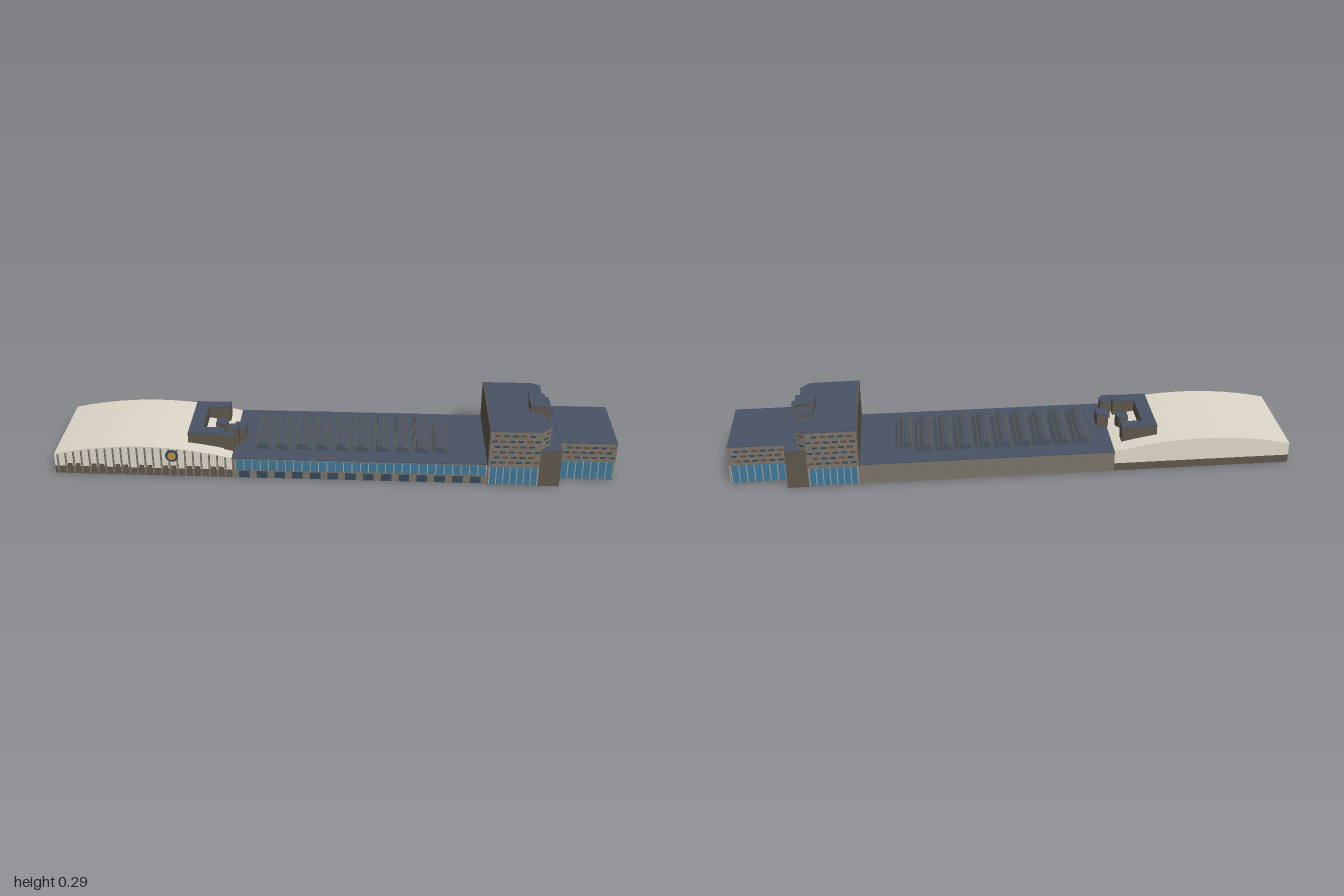
import * as THREE from 'three';
import { mergeGeometries } from 'three/addons/utils/BufferGeometryUtils.js';

const paint = (color) => new THREE.MeshStandardMaterial({ color, flatShading: true });
const M = {
  wall: paint(0x7a756a), dark: paint(0x5f574b), roof: paint(0x4a5364), shell: paint(0xdfd9ca),
  glass: paint(0x3f7899), window: paint(0x35495a), brick: paint(0x6e4a3a), mullion: paint(0xa9a59a),
  gold: paint(0xb8952f),
};

export function createModel() {
  const model = new THREE.Group();
  // local x runs along the building, local z across it
  const building = new THREE.Group();
  building.name = 'building';
  building.rotation.y = -0.764;
  model.add(building);

  const add = (name, geometry, material) => {
    const mesh = new THREE.Mesh(geometry, material);
    mesh.name = name;
    building.add(mesh);
    return mesh;
  };
  const boxGeo = (x0, x1, y0, y1, z0, z1) =>
    new THREE.BoxGeometry(x1 - x0, y1 - y0, z1 - z0)
      .translate((x0 + x1) / 2, (y0 + y1) / 2, (z0 + z1) / 2);
  const box = (name, mat, ...b) => add(name, boxGeo(...b), mat);
  // floor plan pulled up from y0 to y1
  const plan = (name, mat, pts, y0, y1) => {
    const shape = new THREE.Shape(pts.map(([x, z]) => new THREE.Vector2(x, z)));
    const g = new THREE.ExtrudeGeometry(shape, { depth: y1 - y0, bevelEnabled: false });
    return add(name, g.rotateX(Math.PI / 2).translate(0, y1, 0), mat);
  };
  const roofed = (name, pts, y0, y1, mat = M.wall) => {
    plan(name, mat, pts, y0, y1 - 0.004);
    plan(name + 'Roof', M.roof, pts, y1 - 0.004, y1);
  };
  const rect = (x0, x1, z0, z1) => [[x0, z0], [x1, z0], [x1, z1], [x0, z1]];

  // panels set along a wall from a to b; each is [from, to, y0, y1] in wall length
  const onWall = (name, mat, a, b, panels, depth = 0.004) => {
    const dx = b[0] - a[0], dz = b[1] - a[1];
    const geos = panels.map(([u0, u1, y0, y1]) => boxGeo(u0, u1, y0, y1, -depth / 2, depth / 2));
    const mesh = add(name, mergeGeometries(geos), mat);
    mesh.position.set(a[0], 0, a[1]);
    mesh.rotation.y = -Math.atan2(dz, dx);
  };
  const length = (a, b) => Math.hypot(b[0] - a[0], b[1] - a[1]);
  const glazing = (a, b, y0, y1, pitch) => {
    const L = length(a, b), n = Math.max(1, Math.round(L / pitch)), posts = [];
    onWall('glazing', M.glass, a, b, [[0.006, L - 0.006, y0, y1]]);
    for (let i = 0; i <= n; i++) {
      const u = 0.006 + (i / n) * (L - 0.012);
      posts.push([u - 0.002, u + 0.002, y0, y1]);
    }
    onWall('mullions', M.mullion, a, b, posts, 0.008);
  };
  // staggered slit windows, alternating glass and brick infill
  const windows = (a, b, rows) => {
    const L = length(a, b), slits = [], infill = [], step = 0.036;
    rows.forEach((y, r) => {
      for (let u = 0.008 + (r % 2) * 0.012, i = r; u + 0.022 < L; u += step, i++) {
        (i % 3 === 2 ? infill : slits).push([u, u + 0.024, y, y + 0.008]);
      }
    });
    if (slits.length) onWall('windows', M.window, a, b, slits);
    if (infill.length) onWall('infillPanels', M.brick, a, b, infill);
  };

  // arched hall
  box('hallBase', M.dark, -1.178, -0.41, 0, 0.036, -0.216, 0.215);
  const arch = new THREE.Shape();
  arch.moveTo(-1.178, 0.036);
  arch.lineTo(-0.41, 0.036);
  for (let i = 0; i <= 28; i++) {
    const k = i / 28;
    arch.lineTo(-0.41 - 0.768 * k, 0.094 + 0.046 * (1 - (2 * k - 1) ** 2));
  }
  add('archedHall', new THREE.ExtrudeGeometry(arch, { depth: 0.431, bevelEnabled: false })
    .translate(0, 0, -0.216), M.shell);
  const fins = [], bays = [];
  for (let i = 0; i < 22; i++) {
    const u = 0.012 + i * 0.0345, k = u / 0.768;
    fins.push([u, u + 0.007, 0, 0.09 + 0.046 * (1 - (2 * k - 1) ** 2)]);
    if (i % 3) bays.push([u + 0.01, u + 0.03, 0.004, 0.05]);
  }
  onWall('hallFins', M.wall, [-1.178, 0.215], [-0.41, 0.215], fins, 0.008);
  onWall('hallBays', M.dark, [-1.178, 0.215], [-0.41, 0.215], bays);
  for (const [r, d, m] of [[0.028, 0.012, M.window], [0.018, 0.016, M.gold]]) {
    add('roundWindow', new THREE.CylinderGeometry(r, r, d, 24).rotateX(Math.PI / 2)
      .translate(-0.667, 0.1, 0.215), m);
  }

  // roof plant, open on one side
  roofed('roofPlant', [[-0.605, -0.145], [-0.45, -0.15], [-0.45, -0.095], [-0.545, -0.095],
    [-0.545, 0.09], [-0.45, 0.09], [-0.45, 0.148], [-0.605, 0.148]], 0.09, 0.174, M.dark);
  roofed('plantCabin', [[-0.5, -0.02], [-0.46, -0.03], [-0.445, 0], [-0.46, 0.03], [-0.5, 0.02]], 0.09, 0.155, M.dark);
  roofed('plantStair', rect(-0.435, -0.39, 0.07, 0.12), 0.09, 0.183, M.dark);
  roofed('plantDuct', rect(-0.415, -0.365, 0.0, 0.07), 0.09, 0.155, M.dark);
  roofed('plantBox', rect(-0.45, -0.405, 0.125, 0.155), 0.09, 0.172, M.dark);

  // long middle wing
  roofed('middleWing', rect(-0.41, 0.68, -0.218, 0.216), 0, 0.096, M.wall);
  glazing([-0.4, 0.217], [0.68, 0.217], 0.042, 0.087, 0.036);
  const doors = [], dots = [];
  for (let i = 0; i < 14; i++) {
    doors.push([0.02 + i * 0.076, 0.065 + i * 0.076, 0.002, 0.034]);
    dots.push([0.03 + i * 0.076, 0.036 + i * 0.076, 0.05, 0.056]);
  }
  onWall('entrances', M.window, [-0.4, 0.217], [0.68, 0.217], doors);
  onWall('vents', M.dark, [-0.4, -0.218], [0.68, -0.218], dots);

  // sawtooth rooflights, steep face towards the hall
  const tooth = new THREE.Shape([[0, 0], [0.07, 0], [0.026, 0.03], [0.006, 0.03]]
    .map(([x, y]) => new THREE.Vector2(x, y)));
  for (let i = 0; i < 10; i++) {
    const x = -0.308 + i * 0.085, z0 = i === 9 ? -0.1 : -0.135;
    add('rooflight', new THREE.ExtrudeGeometry(tooth, { depth: 0.135 - z0, bevelEnabled: false })
      .translate(x, 0.095, z0), M.roof);
    box('rooflightFace', M.dark, x - 0.003, x + 0.005, 0.095, 0.122, z0, 0.135);
    for (const u of [0.03, 0.05]) { // ribs down the slope
      const y = 0.125 - (u - 0.026) * 0.68;
      box('rooflightRib', M.dark, x + u, x + u + 0.005, y - 0.006, y + 0.003, z0, 0.135);
    }
  }

  // tall block with a wavy end wall
  const wave = [[0.895, -0.222], [0.93, -0.2], [0.928, -0.09], [0.906, -0.037],
    [0.912, 0.07], [0.936, 0.18], [0.895, 0.225]];
  roofed('tallBlock', [[0.68, -0.222], ...wave, [0.68, 0.228]], 0, 0.263);
  box('tallBlockBackWall', M.dark, 0.677, 0.681, 0.09, 0.265, -0.222, 0.228);
  for (const z of [-0.222, 0.2265]) {
    glazing([0.68, z], [0.895, z], 0.006, 0.088, 0.03);
    windows([0.68, z], [0.895, z], [0.108, 0.133, 0.158, 0.184, 0.21, 0.236]);
  }
  for (let i = 1; i < wave.length; i++) windows(wave[i - 1], wave[i], [0.194, 0.216, 0.238]);

  // core tower and its lower step
  roofed('coreTower', rect(0.86, 0.945, -0.03, 0.058), 0.17, 0.293, M.dark);
  roofed('coreStep', rect(0.865, 0.935, -0.09, -0.03), 0.17, 0.28, M.dark);

  // link wall between tall block and end block
  roofed('linkBlock', rect(0.89, 0.984, -0.222, 0.225), 0, 0.176, M.dark);

  // low end block
  roofed('endBlock', rect(0.98, 1.224, -0.165, 0.162), 0, 0.18);
  const corners = [[0.986, -0.165], [1.224, -0.165], [1.224, 0.162], [0.986, 0.162]];
  for (let i = 0; i < 3; i++) {
    glazing(corners[i], corners[i + 1], 0.006, 0.088, 0.034);
    windows(corners[i], corners[i + 1], [0.104, 0.128, 0.152]);
  }
  return model;
}
